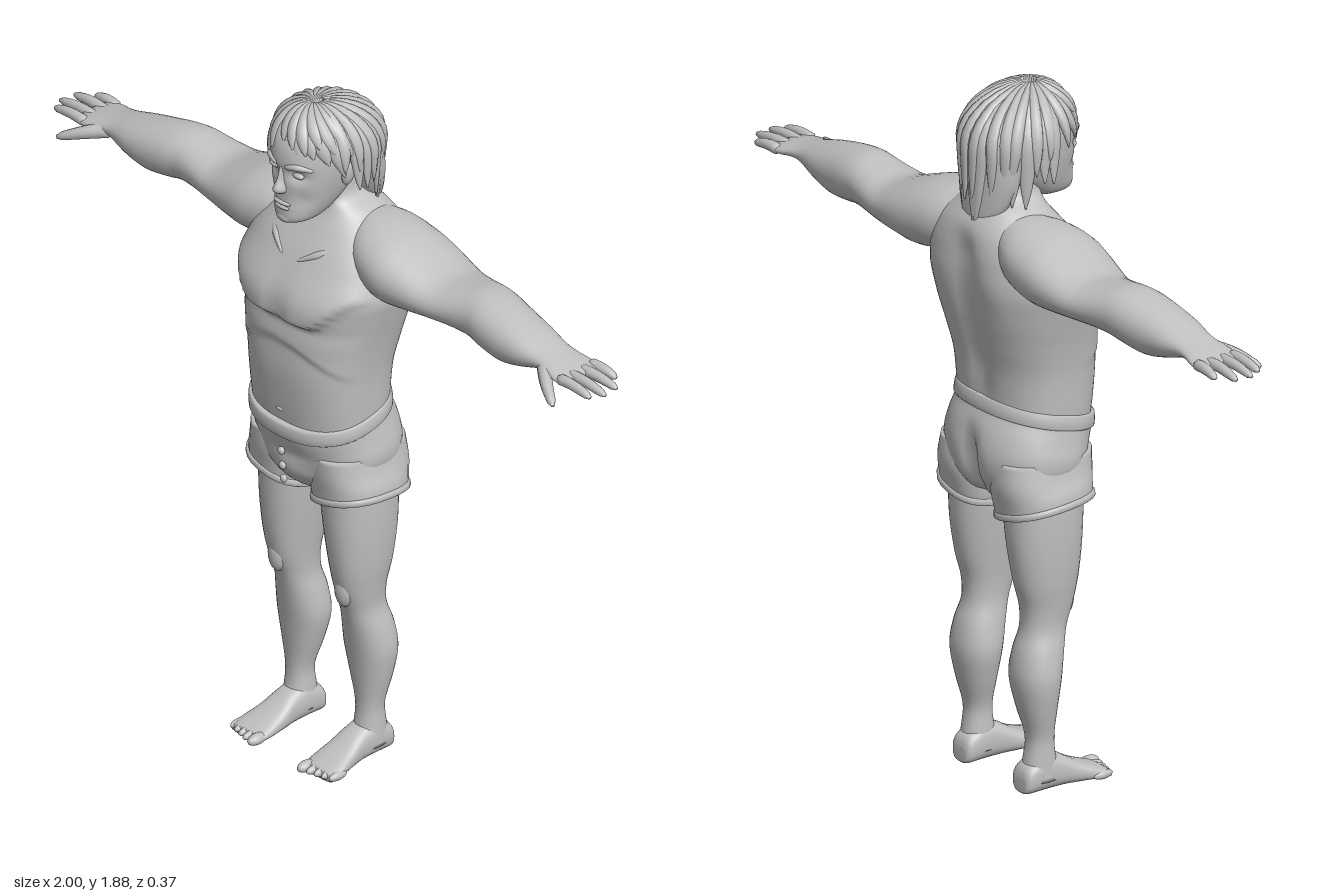
import * as THREE from 'three';

const V = (x, y, z) => new THREE.Vector3(x, y, z);
const gauss = (x, w) => Math.exp(-(x * x) / (w * w));
const step = THREE.MathUtils.smoothstep;

// Closed, capped skin over a list of rings, always facing outward
function skin(rings) {
  const n = rings[0].length, pos = [], idx = [];
  rings.forEach(r => r.forEach(p => pos.push(p.x, p.y, p.z)));
  for (let i = 0; i < rings.length - 1; i++) for (let j = 0; j < n; j++) {
    const a = i * n + j, b = i * n + (j + 1) % n;
    idx.push(a, b, b + n, a, b + n, a + n);
  }
  [0, rings.length - 1].forEach((r, k) => {
    const c = rings[r].reduce((s, p) => s.add(p), V(0, 0, 0)).divideScalar(n);
    const ci = pos.length / 3;
    pos.push(c.x, c.y, c.z);
    for (let j = 0; j < n; j++) {
      const a = r * n + j, b = r * n + (j + 1) % n;
      k ? idx.push(a, b, ci) : idx.push(b, a, ci);
    }
  });
  const at = i => V(pos[3 * i], pos[3 * i + 1] - 1, pos[3 * i + 2]);
  let vol = 0;
  for (let i = 0; i < idx.length; i += 3) vol += at(idx[i]).dot(at(idx[i + 1]).cross(at(idx[i + 2])));
  if (vol < 0) idx.reverse();
  const g = new THREE.BufferGeometry();
  g.setAttribute('position', new THREE.Float32BufferAttribute(pos, 3));
  g.setIndex(idx);
  g.computeVertexNormals();
  return g;
}

// Smooth loft; each section is [t, uLow, uHigh, vLow, vHigh], place() maps (t,u,v) to a point
function loft(sections, place, { power = 2, n = 28, sub = 4 } = {}) {
  const rings = [], last = sections.length - 1;
  for (let k = 0; k <= last * sub; k++) {
    const i = Math.min(Math.floor(k / sub), last - 1), f = k / sub - i;
    const [p0, p1, p2, p3] = [-1, 0, 1, 2].map(d => sections[THREE.MathUtils.clamp(i + d, 0, last)]);
    const s = p1.map((b, q) => {
      const m1 = (p2[q] - p0[q]) / 2, m2 = (p3[q] - b) / 2, d = p2[q] - b;
      return b + f * (m1 + f * (3 * d - 2 * m1 - m2 + f * (m1 + m2 - 2 * d)));
    });
    const ring = [];
    for (let j = 0; j < n; j++) {
      const a = j / n * Math.PI * 2, e = 2 / power, c = Math.cos(a), w = Math.sin(a);
      const u = Math.sign(c) * Math.abs(c) ** e, v = Math.sign(w) * Math.abs(w) ** e;
      ring.push(place(s[0], (s[1] + s[2]) / 2 + u * (s[2] - s[1]) / 2, (s[3] + s[4]) / 2 + v * (s[4] - s[3]) / 2));
    }
    rings.push(ring);
  }
  return skin(rings);
}
const wide = rows => rows.map(([y, w, f, b]) => [y, -w, w, b, f]);

// Rounded tapering limb through points
function taper(points, radii) {
  const curve = new THREE.CatmullRomCurve3(points), rings = [], N = 10;
  const fr = curve.computeFrenetFrames(N);
  for (let i = 0; i <= N; i++) {
    const t = i / N, k = t * (radii.length - 1), q = Math.min(Math.floor(k), radii.length - 2);
    const r = THREE.MathUtils.lerp(radii[q], radii[q + 1], k - q) * (i === 0 || i === N ? 0.55 : 1);
    const c = curve.getPointAt(t);
    rings.push(Array.from({ length: 10 }, (_, j) => {
      const a = j / 10 * Math.PI * 2;
      return c.clone().addScaledVector(fr.normals[i], r * Math.cos(a)).addScaledVector(fr.binormals[i], r * Math.sin(a));
    }));
  }
  return skin(rings);
}

export function createModel() {
  const root = new THREE.Group();
  const grey = new THREE.MeshStandardMaterial({ color: 0xc0c0c0 });
  grey.name = 'plain grey';
  const add = (name, geo) => {
    const m = new THREE.Mesh(geo, grey);
    m.name = name;
    root.add(m);
    return m;
  };
  const blob = (name, x, y, z, rx, ry, rz) => {
    const m = add(name, new THREE.SphereGeometry(1, 18, 12));
    m.position.set(x, y, z);
    m.scale.set(rx, ry, rz);
    return m;
  };

  // Torso and neck, with chest, rib arch, spine and shoulder blades pushed in or out
  add('torso', loft(wide([
    [0.95, 0.18, 0.152, -0.115], [1.04, 0.187, 0.163, -0.12], [1.14, 0.193, 0.17, -0.13],
    [1.22, 0.205, 0.165, -0.15], [1.28, 0.218, 0.163, -0.165], [1.33, 0.23, 0.164, -0.173],
    [1.38, 0.24, 0.16, -0.178], [1.43, 0.232, 0.142, -0.18], [1.48, 0.215, 0.112, -0.178],
    [1.53, 0.175, 0.075, -0.165], [1.575, 0.115, 0.045, -0.135], [1.61, 0.07, 0.045, -0.1], [1.68, 0.064, 0.05, -0.09],
  ]), (y, x, z) => {
    const ax = Math.abs(x);
    if (z > 0.03) {
      const crease = 1.3 + 0.09 * step(ax, 0.1, 0.22);
      const face = step(z, 0.03, 0.1);
      z += face * step(y, crease - 0.012, crease + 0.012) * (1 - step(y, 1.33, 1.46)) * (0.024 - 0.012 * gauss(x, 0.025));
      const arch = 1.23 - 2.2 * ax * ax;
      z += face * 0.007 * step(y, arch - 0.01, arch + 0.01) * (1 - step(y, 1.24, 1.3));
    } else if (z < -0.05) {
      const mid = step(y, 1.0, 1.2) * (1 - step(y, 1.45, 1.55));
      z += 0.022 * mid * gauss(x, 0.035) - 0.01 * gauss(ax - 0.12, 0.05) * gauss(y - 1.4, 0.08);
    }
    return V(x, y, z);
  }, { power: 2.5, n: 64, sub: 7 }));
  blob('navel', 0, 1.025, 0.162, 0.012, 0.005, 0.004);

  // Shorts: seat with a back cleft and a front bulge
  const tilt = (y, z) => y - 0.25 * z * step(y, 0.85, 1.0);
  add('shortsSeat', loft(wide([
    [0.765, 0.03, 0.06, -0.06], [0.79, 0.1, 0.1, -0.115], [0.83, 0.17, 0.127, -0.142], [0.87, 0.198, 0.137, -0.156],
    [0.91, 0.203, 0.145, -0.16], [0.95, 0.196, 0.155, -0.15], [0.99, 0.189, 0.164, -0.132], [1.02, 0.187, 0.166, -0.124],
  ]), (y, x, z) => {
    if (z < -0.05) z += 0.035 * gauss(x, 0.025) * (1 - step(y, 0.88, 0.98));
    if (z > 0.05) z += 0.016 * gauss(x, 0.06) * gauss(y - 0.85, 0.05);
    return V(x, tilt(y, z), z);
  }, { power: 2.3, n: 56 }));
  add('waistband', loft(wide([
    [0.992, 0.188, 0.164, -0.127], [0.995, 0.195, 0.172, -0.134], [1.028, 0.194, 0.173, -0.129], [1.032, 0.186, 0.165, -0.122],
  ]), (y, x, z) => V(x, tilt(y, z), z), { power: 2.3, n: 56, sub: 2 }));
  [0.9, 0.855, 0.815].forEach(y => blob('button', 0, y, 0.157 - (0.9 - y) * 0.1, 0.011, 0.011, 0.008));

  for (const s of [1, -1]) {
    const side = s > 0 ? 'left' : 'right';
    const upright = (y, x, z) => V(s * x, y, z);
    const hem = (y, x, z) => V(s * x, y + (0.24 * (x - 0.115) + 0.08 * z) * (1 - step(y, 0.78, 0.9)), z);

    // Shorts leg and rolled hem
    add(side + 'ShortsLeg', loft([
      [0.768, 0.012, 0.222, -0.128, 0.116], [0.8, 0.008, 0.219, -0.135, 0.12],
      [0.85, 0.01, 0.207, -0.146, 0.127], [0.91, 0.02, 0.195, -0.14, 0.13],
    ], hem, { power: 2.4 }));
    add(side + 'ShortsHem', loft([
      [0.762, 0.012, 0.222, -0.128, 0.116], [0.765, 0.008, 0.228, -0.134, 0.122],
      [0.779, 0.008, 0.227, -0.134, 0.122], [0.782, 0.012, 0.22, -0.128, 0.116],
    ], hem, { power: 2.4, sub: 2 }));

    // Leg from hip to ankle
    add(side + 'Leg', loft([
      [0.85, 0.03, 0.195, -0.115, 0.105], [0.75, 0.032, 0.197, -0.114, 0.1], [0.66, 0.042, 0.195, -0.108, 0.094],
      [0.57, 0.054, 0.188, -0.093, 0.083], [0.5, 0.063, 0.178, -0.075, 0.068], [0.44, 0.066, 0.174, -0.074, 0.048],
      [0.38, 0.056, 0.187, -0.092, 0.034], [0.31, 0.05, 0.195, -0.1, 0.022], [0.23, 0.068, 0.183, -0.086, 0.012],
      [0.15, 0.091, 0.166, -0.066, 0.006], [0.09, 0.09, 0.166, -0.072, 0.012], [0.03, 0.086, 0.168, -0.084, 0.03],
    ], upright, { power: 2.2, n: 32 }));
    blob(side + 'Kneecap', s * 0.122, 0.505, 0.054, 0.028, 0.05, 0.022);

    // Foot, lofted heel to toe, and toes
    add(side + 'Foot', loft([
      [-0.09, 0.1, 0.15, 0.005, 0.045], [-0.078, 0.087, 0.163, 0, 0.075], [-0.03, 0.085, 0.167, 0, 0.1],
      [0.02, 0.084, 0.168, 0, 0.088], [0.07, 0.078, 0.177, 0, 0.06], [0.12, 0.075, 0.187, 0, 0.038], [0.155, 0.078, 0.187, 0, 0.024],
    ], (z, x, y) => V(s * x, y, z), { power: 2.6 }));
    for (let i = 0; i < 5; i++) {
      blob(side + 'Toe', s * (0.091 + 0.0215 * i + (i ? 0.004 : 0)), 0.015, 0.155 - 0.006 * i,
        i ? 0.011 : 0.016, i ? 0.012 : 0.015, 0.03);
    }

    // Arm from shoulder to palm
    add(side + 'Arm', loft([
      [0.09, 1.43, 1.57, -0.14, 0.01], [0.16, 1.395, 1.572, -0.172, 0.06], [0.24, 1.375, 1.56, -0.18, 0.078],
      [0.31, 1.38, 1.536, -0.178, 0.07], [0.4, 1.39, 1.504, -0.165, 0.05], [0.47, 1.39, 1.51, -0.15, 0.036],
      [0.53, 1.386, 1.52, -0.14, 0.03], [0.58, 1.377, 1.518, -0.135, 0.036], [0.65, 1.37, 1.505, -0.125, 0.038],
      [0.72, 1.387, 1.487, -0.114, 0.033], [0.78, 1.408, 1.468, -0.1, 0.02], [0.82, 1.415, 1.456, -0.1, 0.022],
      [0.86, 1.412, 1.446, -0.108, 0.028], [0.9, 1.412, 1.436, -0.107, 0.025],
    ], (x, y, z) => V(s * x, y, z), { power: 2.15, n: 32 }));

    // Fingers and thumb
    [[-0.095, -0.102, 0.955], [-0.06, -0.067, 0.995], [-0.022, -0.022, 1], [0.013, 0.013, 0.982]].forEach(([z0, z1, tip]) =>
      add(side + 'Finger', taper([V(s * 0.865, 1.428, z0), V(s * (0.865 + tip) / 2, 1.43, (z0 + z1) / 2), V(s * tip, 1.421, z1)],
        [0.015, 0.0145, 0.013, 0.009])));
    add(side + 'Thumb', taper([V(s * 0.79, 1.432, -0.01), V(s * 0.85, 1.416, 0.04), V(s * 0.91, 1.392, 0.075)], [0.022, 0.019, 0.015, 0.01]));

    // Collarbone, ear, eye, brow
    add(side + 'Collarbone', taper([V(s * 0.028, 1.455, 0.127), V(s * 0.07, 1.478, 0.104), V(s * 0.12, 1.505, 0.066)], [0.004, 0.011, 0.006]));
    blob(side + 'Ear', s * 0.101, 1.7, 0.02, 0.012, 0.034, 0.02).rotation.z = -s * 0.15;
    blob(side + 'Eye', s * 0.042, 1.715, 0.137, 0.019, 0.008, 0.01);
    add(side + 'Brow', taper([V(s * 0.015, 1.737, 0.157), V(s * 0.048, 1.744, 0.147), V(s * 0.078, 1.734, 0.118)], [0.007, 0.009, 0.005]));
  }

  // Head with eye sockets and hollow cheeks
  add('head', loft(wide([
    [1.567, 0.03, 0.143, 0.05], [1.58, 0.052, 0.156, 0.02], [1.61, 0.069, 0.157, -0.02], [1.65, 0.083, 0.156, -0.06],
    [1.7, 0.095, 0.157, -0.09], [1.75, 0.1, 0.16, -0.11], [1.8, 0.097, 0.146, -0.112], [1.84, 0.078, 0.105, -0.1], [1.86, 0.04, 0.06, -0.05],
  ]), (y, x, z) => {
    const ax = Math.abs(x);
    if (z > 0.06) z -= 0.016 * gauss(ax - 0.042, 0.024) * gauss(y - 1.715, 0.018) + 0.007 * gauss(ax - 0.055, 0.02) * gauss(y - 1.64, 0.03);
    return V(x, y, z);
  }, { power: 2.25, n: 60, sub: 6 }));
  add('nose', loft([
    [1.735, -0.008, 0.008, 0.13, 0.16], [1.7, -0.009, 0.009, 0.13, 0.17], [1.672, -0.017, 0.017, 0.13, 0.183], [1.66, -0.014, 0.014, 0.13, 0.172],
  ], (y, x, z) => V(x, y, z), { n: 14 }));
  blob('upperLip', 0, 1.628, 0.154, 0.03, 0.006, 0.009);
  blob('lowerLip', 0, 1.615, 0.153, 0.025, 0.007, 0.009);
  blob('chin', 0, 1.583, 0.146, 0.026, 0.015, 0.013);

  // Hair: a cap and nape beneath layers of tapering locks
  blob('hairCap', 0, 1.755, -0.025, 0.118, 0.108, 0.122);
  add('hairNape', loft(wide([
    [1.53, 0.04, -0.1, -0.15], [1.58, 0.08, -0.065, -0.15], [1.66, 0.108, -0.03, -0.145], [1.75, 0.115, 0, -0.14],
  ]), (y, x, z) => V(x, y, z)));
  let seed = 7;
  const rnd = () => (seed = (seed * 16807) % 2147483647) / 2147483647;
  const lock = (a0, length, size, lift, sweep) => {
    const path = t => {
      const d = t * length, hang = Math.max(0, d - 0.22), th = 0.12 + Math.min(d / 0.22, 1) * (Math.PI / 2 - 0.12);
      const a = a0 + sweep * t, back = Math.max(0, -Math.cos(a));
      const r = Math.sin(th) * (1 + 0.25 * hang);
      return V(Math.sin(a) * r * (0.128 + lift) * (1 - 1.6 * hang * back), 1.74 + Math.cos(th) * (0.122 + lift) - hang,
        0.004 + Math.cos(a) * r * (0.15 + lift) + 0.035 * (1 - Math.sin(th)));
    };
    const rings = [], N = 12;
    for (let i = 0; i <= N; i++) {
      const t = i / N, p = path(t), tan = path(t + 0.02).sub(path(t - 0.02 * (t > 0.02))).normalize();
      const out = p.clone().sub(V(0, Math.min(p.y, 1.74), 0)).normalize();
      const across = tan.clone().cross(out).normalize();
      const up = across.clone().cross(tan).normalize();
      const w = size * Math.sqrt(t + 0.12) * (1 - t ** 4 * 0.93), h = 0.015 * (1 - t ** 3 * 0.85);
      rings.push(Array.from({ length: 8 }, (_, j) => {
        const b = j / 8 * Math.PI * 2;
        return p.clone().addScaledVector(across, w * Math.cos(b)).addScaledVector(up, h * Math.sin(b));
      }));
    }
    add('hairLock', skin(rings));
  };
  for (let layer = 0; layer < 2; layer++) for (let i = 0; i < 22; i++) {
    const a = ((i + layer * 0.5) / 22) * Math.PI * 2 - Math.PI, f = Math.abs(a);
    const base = f < 0.65 ? 0.185 : f < 1.15 ? 0.235 : f < 1.75 ? 0.3 : 0.36 + 0.08 * step(f, 2, 3);
    const len = base * (1 - layer * 0.18) + (rnd() - 0.5) * 0.05;
    lock(a, len, 0.03 - layer * 0.006, layer * 0.007, f < 1.15 ? 0.4 : (rnd() - 0.5) * 0.3);
  }
  return root;
}
